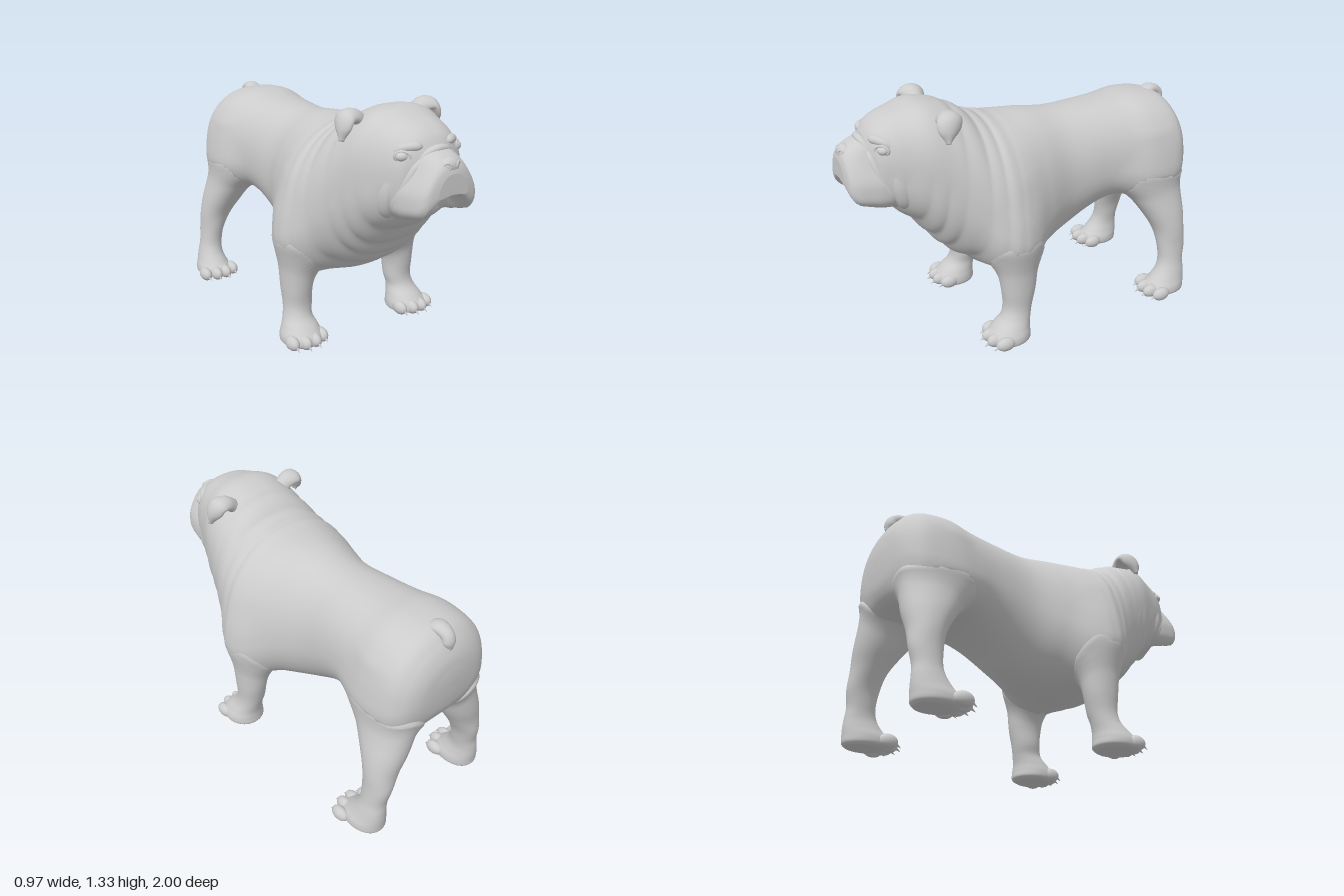
import * as THREE from 'three';

const skinMaterial = new THREE.MeshStandardMaterial({ color: 0xcccccc, roughness: 0.8 });
const V = (x, y, z) => new THREE.Vector3(x, y, z);
const { smoothstep } = THREE.MathUtils;
const power = (v, e) => Math.sign(v) * Math.abs(v) ** (2 / e);

// Smooth interpolation down the columns of a short table, t in 0..1
function sample(rows, t) {
  const f = Math.min(t, 0.99999) * (rows.length - 1), i = Math.floor(f), u = f - i;
  const row = k => rows[Math.min(Math.max(k, 0), rows.length - 1)];
  return rows[0].map((_, c) => {
    const [a, b, d, e] = [row(i - 1)[c], row(i)[c], row(i + 1)[c], row(i + 2)[c]];
    return b + 0.5 * u * (d - a + u * (2 * a - 5 * b + 4 * d - e + u * (3 * (b - d) + e - a)));
  });
}

// Closed skin over rings point(t, angle), capped around end centres
function skin(point, rings, segs) {
  const pos = [], idx = [];
  for (let i = 0; i <= rings; i++) {
    for (let j = 0; j < segs; j++) pos.push(...point(i / rings, (j / segs) * Math.PI * 2).toArray());
  }
  for (let i = 0; i < rings; i++) {
    for (let j = 0; j < segs; j++) {
      const a = i * segs + j, b = i * segs + ((j + 1) % segs);
      idx.push(a, b, a + segs, b, b + segs, a + segs);
    }
  }
  for (const [ring, flip] of [[0, true], [rings, false]]) {
    const c = V(0, 0, 0), centre = pos.length / 3;
    for (let j = 0; j < segs; j++) {
      const a = ring * segs + j, b = ring * segs + ((j + 1) % segs);
      c.add(V(...pos.slice(a * 3, a * 3 + 3)));
      idx.push(centre, flip ? b : a, flip ? a : b);
    }
    pos.push(...c.divideScalar(segs).toArray());
  }
  const g = new THREE.BufferGeometry();
  g.setAttribute('position', new THREE.Float32BufferAttribute(pos, 3));
  g.setIndex(idx);
  g.computeVertexNormals();
  return g;
}

// Tapered strip along a curve; side is the width direction, cup curls the edges
function sweep(points, widths, thicks, side, cup = 0) {
  const curve = new THREE.CatmullRomCurve3(points.map(p => V(...p)));
  const sizes = widths.map((w, i) => [w, thicks[i]]);
  return skin((t, a) => {
    const [w, h] = sample(sizes, t);
    const n = curve.getTangent(t).cross(side).normalize();
    return curve.getPoint(t).addScaledVector(side, w * Math.cos(a))
      .addScaledVector(n, h * Math.sin(a) + cup * Math.cos(a) ** 2);
  }, 28, 20);
}

const ellipsoid = (c, r) => new THREE.SphereGeometry(1, 24, 16).scale(...r).translate(...c);

function mirrored(geo) {
  const g = geo.clone().scale(-1, 1, 1), ix = g.index.array;
  for (let i = 0; i < ix.length; i += 3) [ix[i], ix[i + 1]] = [ix[i + 1], ix[i]];
  g.computeVertexNormals();
  return g;
}

// Rows along z: z, top, widest height, bottom, half width, roundness
const bodyRows = [
  [-1, 0.915, 0.9, 0.885, 0.015, 2], [-0.995, 0.97, 0.88, 0.79, 0.11, 2], [-0.98, 1.04, 0.86, 0.71, 0.21, 2.1],
  [-0.94, 1.11, 0.83, 0.65, 0.285, 2.2], [-0.87, 1.165, 0.81, 0.63, 0.328, 2.3], [-0.72, 1.185, 0.81, 0.62, 0.33, 2.4],
  [-0.57, 1.172, 0.82, 0.61, 0.302, 2.3], [-0.4, 1.165, 0.83, 0.55, 0.28, 2.2], [-0.2, 1.165, 0.77, 0.44, 0.285, 2.1],
  [-0.03, 1.185, 0.7, 0.385, 0.355, 2.1], [0.1, 1.19, 0.64, 0.37, 0.42, 2.2], [0.2, 1.2, 0.64, 0.37, 0.447, 2.2],
  [0.3, 1.23, 0.69, 0.395, 0.417, 2.2], [0.4, 1.29, 0.8, 0.45, 0.37, 2.2], [0.5, 1.33, 0.9, 0.53, 0.33, 2.3],
  [0.6, 1.34, 0.98, 0.65, 0.295, 2.5], [0.7, 1.315, 1.0, 0.76, 0.25, 2.5], [0.78, 1.29, 1.02, 0.82, 0.215, 2.5],
  [0.84, 1.25, 1.04, 0.87, 0.18, 2.4], [0.875, 1.2, 1.06, 0.97, 0.12, 2.2],
];
const muzzleRows = [
  [0.66, 1.13, 0.98, 0.86, 0.14, 2.4], [0.74, 1.16, 0.95, 0.825, 0.19, 2.5], [0.82, 1.185, 0.94, 0.83, 0.195, 2.6],
  [0.89, 1.195, 0.94, 0.85, 0.185, 2.6], [0.95, 1.17, 0.95, 0.87, 0.17, 2.6], [0.985, 1.14, 0.98, 0.9, 0.145, 2.5],
  [1.0, 1.1, 1.01, 0.94, 0.09, 2.3],
];
// Rows up y: y, inner x, outer x, back z, front z
const frontLegRows = [
  [0.008, 0.27, 0.45, 0.15, 0.34], [0.025, 0.25, 0.472, 0.125, 0.37], [0.06, 0.25, 0.472, 0.125, 0.365],
  [0.1, 0.262, 0.453, 0.125, 0.33], [0.15, 0.275, 0.43, 0.115, 0.28], [0.21, 0.265, 0.42, 0.1, 0.262],
  [0.3, 0.26, 0.425, 0.08, 0.27], [0.4, 0.235, 0.43, 0.065, 0.285], [0.5, 0.19, 0.436, 0.045, 0.31],
  [0.62, 0.15, 0.437, 0.04, 0.33], [0.75, 0.15, 0.4, 0.06, 0.3], [0.88, 0.18, 0.31, 0.1, 0.26],
];
const hindLegRows = [
  [0.008, 0.28, 0.43, -0.92, -0.74], [0.025, 0.262, 0.455, -0.935, -0.685], [0.06, 0.262, 0.455, -0.938, -0.685],
  [0.1, 0.275, 0.44, -0.94, -0.725], [0.15, 0.285, 0.425, -0.938, -0.765], [0.21, 0.28, 0.41, -0.935, -0.785],
  [0.3, 0.26, 0.4, -0.95, -0.78], [0.4, 0.21, 0.395, -0.95, -0.76], [0.5, 0.15, 0.38, -0.96, -0.705],
  [0.6, 0.1, 0.357, -0.962, -0.635], [0.7, 0.06, 0.338, -0.962, -0.56], [0.82, 0.06, 0.305, -0.935, -0.54],
  [0.95, 0.1, 0.24, -0.86, -0.62],
];

// Distances to trunk and legs, used to swell each skin where they join
const dense = rows => Array.from({ length: 400 }, (_, i) => sample(rows, i / 399));
const [bodyTable, ...legTables] = [bodyRows, frontLegRows, hindLegRows].map(dense);
const at = (table, v) => table.find(r => r[0] >= v) ?? table.at(-1);
function radial(dx, dy, rx, ry, e) {
  const q = (Math.abs(dx / rx) ** e + Math.abs(dy / ry) ** e) ** (1 / e);
  return Math.hypot(dx, dy) * (1 - 1 / Math.max(q, 0.05));
}
function bodyDistance(p) {
  const [, top, mid, bot, w, e] = at(bodyTable, p.z), dy = p.y - mid;
  return radial(p.x, dy, w, dy > 0 ? top - mid : mid - bot, e);
}
function legDistance(table, p) {
  const [, x0, x1, z0, z1] = at(table, p.y);
  const d = radial(Math.abs(p.x) - (x0 + x1) / 2, p.z - (z0 + z1) / 2, (x1 - x0) / 2, (z1 - z0) / 2, 2.1);
  return Math.max(d, p.y - table.at(-1)[0]);
}
const fillet = d => Math.max(0, 0.1 - Math.abs(d)) ** 2 / 0.4;

function section([z, top, mid, bot, w, e], a, swell = 0) {
  const c = power(Math.cos(a), e), s = power(Math.sin(a), e);
  return V(c * (w + swell), mid + s * ((s > 0 ? top - mid : mid - bot) + swell), z);
}

// Trunk, neck and skull with loose folds of skin, deepest at the throat
function trunk() {
  const bump = (z, a, b) => smoothstep(z, a, a + 0.12) * (1 - smoothstep(z, b - 0.1, b));
  return skin((t, a) => {
    const row = sample(bodyRows, t), z = row[0], s = Math.sin(a), p = section(row, a);
    const wave = Math.abs(Math.sin((z + 0.035 * s + 0.012 * Math.sin(z * 23)) * Math.PI / 0.09)) - 0.6;
    const depth = 0.004 + (s < 0 ? 0.018 : 0.006) * s * s;
    const join = Math.max(...legTables.map(table => fillet(legDistance(table, p))));
    return section(row, a, bump(z, 0.12, s > 0 ? 0.5 : 0.84) * depth * wave + join);
  }, 200, 80);
}

// Muzzle narrowing to the nose, its lower edge arched between the hanging jowls
function muzzle() {
  return skin((t, a) => {
    const row = sample(muzzleRows, t), p = section(row, a);
    const arch = smoothstep(row[0], 0.76, 0.88) * Math.max(0, 1 - (p.x / 0.14) ** 2);
    p.y += Math.max(0, -Math.sin(a)) * arch * Math.max(0, 1.0 - row[3]);
    p.x *= 1 - 0.22 * smoothstep(p.y, 0.97, 1.14);
    return p;
  }, 60, 72);
}

function leg(rows) {
  return skin((t, a) => {
    const [y, x0, x1, z0, z1] = sample(rows, t), c = power(Math.cos(a), 2.1), s = power(Math.sin(a), 2.1);
    const ring = out => V((x0 + x1) / 2 + c * ((x1 - x0) / 2 + out), y, (z0 + z1) / 2 - s * ((z1 - z0) / 2 + out));
    return ring(fillet(bodyDistance(ring(0))));
  }, 90, 48);
}

export function createModel() {
  const model = new THREE.Group();
  model.name = 'bulldog';
  const add = (name, geo) => {
    const mesh = new THREE.Mesh(geo, skinMaterial);
    mesh.name = name;
    model.add(mesh);
  };
  const pair = (name, geo) => {
    add(name + 'Left', geo);
    add(name + 'Right', mirrored(geo));
  };
  const X = V(1, 0, 0), Z = V(0, 0, 1);
  add('body', trunk());
  add('muzzle', muzzle());
  add('chin', ellipsoid([0, 0.9, 0.765], [0.14, 0.085, 0.09]));

  // Legs, toes and claws
  pair('frontLeg', leg(frontLegRows));
  pair('hindLeg', leg(hindLegRows));
  for (const [name, cx, cz] of [['front', 0.364, 0.33], ['hind', 0.364, -0.705]]) {
    for (let i = 0; i < 4; i++) {
      const k = i - 1.5, x = cx + k * 0.06, z = cz + 0.01 - 0.014 * k * k;
      pair(name + 'Toe' + (i + 1), ellipsoid([x, 0.046, z], [0.033, 0.039, 0.055]));
      pair(name + 'Claw' + (i + 1), new THREE.ConeGeometry(0.012, 0.045, 10).rotateX(2.1).translate(x, 0.034, z + 0.055));
    }
  }

  // Nose, eyes and brows
  add('nose', ellipsoid([0, 1.13, 0.96], [0.06, 0.042, 0.036]));
  pair('nostril', new THREE.TorusGeometry(0.016, 0.006, 10, 20).rotateY(0.5).translate(0.032, 1.135, 0.984));
  pair('eye', ellipsoid([0.158, 1.165, 0.815], [0.036, 0.025, 0.03]));
  pair('eyelid', new THREE.TorusGeometry(0.035, 0.009, 10, 28).scale(1, 0.7, 1).rotateY(0.75).translate(0.163, 1.165, 0.822));
  pair('brow', sweep([[0.05, 1.2, 0.84], [0.1, 1.207, 0.835], [0.15, 1.197, 0.805], [0.19, 1.155, 0.755]],
    [0.015, 0.03, 0.03, 0.015], [0.012, 0.024, 0.022, 0.012], Z));

  // Rolls of skin around the face
  add('noseRoll', sweep([[-0.1, 1.15, 0.865], [-0.05, 1.185, 0.88], [0, 1.195, 0.885], [0.05, 1.185, 0.88], [0.1, 1.15, 0.865]],
    [0.008, 0.02, 0.022, 0.02, 0.008], [0.008, 0.016, 0.018, 0.016, 0.008], Z));
  pair('cheekRoll', sweep([[0.07, 1.17, 0.87], [0.115, 1.11, 0.855], [0.152, 1.02, 0.82], [0.163, 0.92, 0.785], [0.13, 0.85, 0.765]],
    [0.012, 0.03, 0.045, 0.045, 0.02], [0.01, 0.026, 0.034, 0.034, 0.018], Z));
  pair('jawRoll', sweep([[0.16, 1.13, 0.78], [0.188, 1.05, 0.755], [0.198, 0.95, 0.73], [0.175, 0.87, 0.71], [0.1, 0.825, 0.71]],
    [0.015, 0.045, 0.06, 0.055, 0.02], [0.012, 0.028, 0.034, 0.032, 0.015], Z));

  // Folded ears and short tail
  pair('ear', sweep([[0.17, 1.265, 0.5], [0.215, 1.298, 0.5], [0.262, 1.298, 0.505], [0.288, 1.252, 0.515], [0.304, 1.19, 0.53]],
    [0.05, 0.06, 0.068, 0.058, 0.012], [0.038, 0.035, 0.03, 0.024, 0.008], Z, 0.012));
  add('tail', sweep([[0, 1.13, -0.82], [0, 1.16, -0.88], [0, 1.14, -0.93], [0, 1.105, -0.945], [0, 1.07, -0.955]],
    [0.055, 0.046, 0.037, 0.036, 0.014], [0.03, 0.03, 0.032, 0.03, 0.014], X));
  return model;
}
